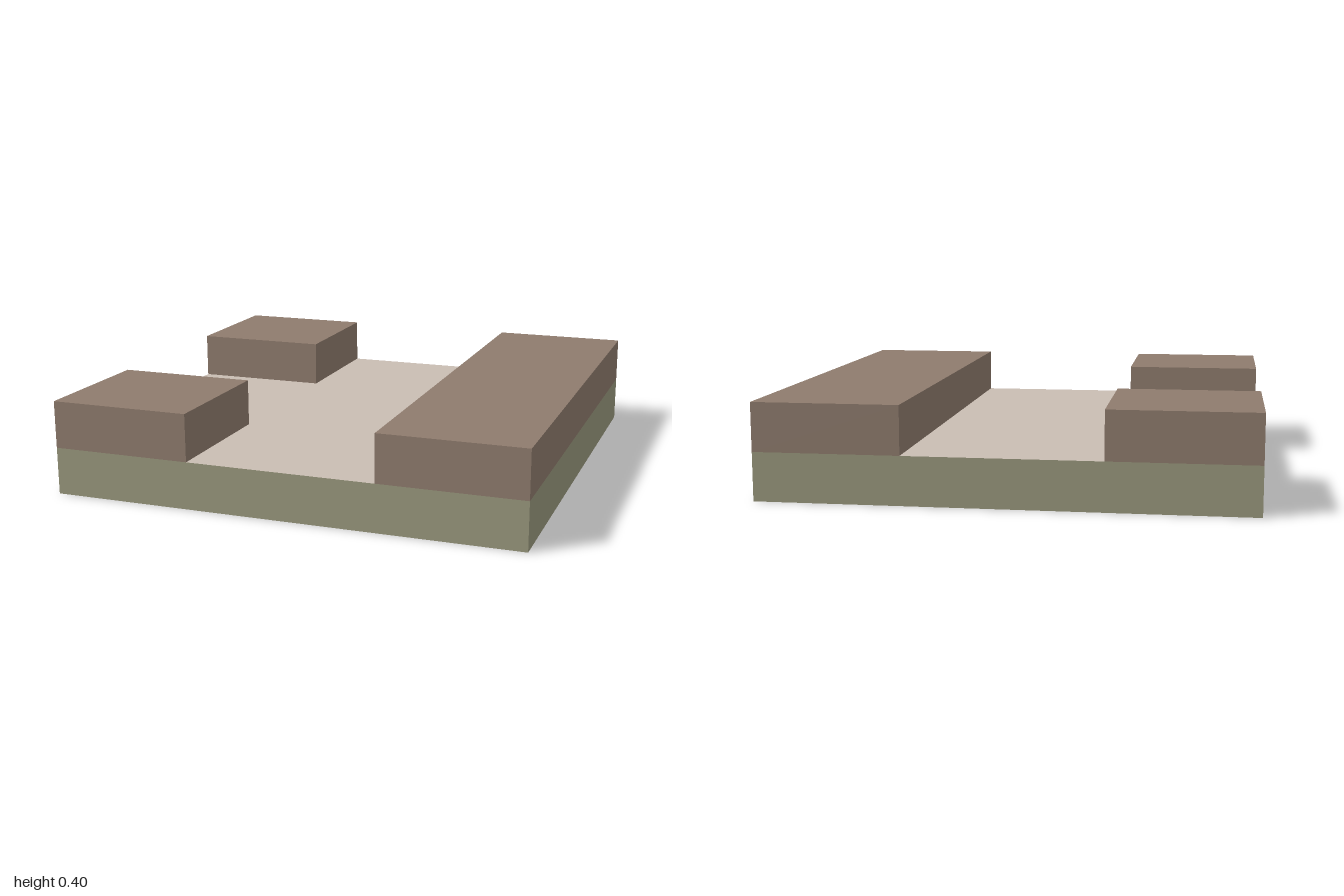
import * as THREE from 'three';

const material = (name, color) => {
  const m = new THREE.MeshStandardMaterial({ color });
  m.name = name;
  return m;
};

export function createModel() {
  const model = new THREE.Group();
  model.name = 'pathTile';

  const paving = material('pale paving', 0xc9bdb3);
  const ground = material('olive ground', 0x99987d);
  const wall = material('brown wall', 0x8e7b6d);

  // A box given by its size and the height of its underside
  const addBox = (name, [w, h, d], [x, y, z], mat) => {
    const mesh = new THREE.Mesh(new THREE.BoxGeometry(w, h, d), mat);
    mesh.name = name;
    mesh.position.set(x, y + h / 2, z);
    model.add(mesh);
  };

  // Base slab: olive sides, pale top and underside
  addBox('baseSlab', [2, 0.2, 2], [0, 0, 0],
    [ground, ground, paving, paving, ground, ground]);

  // Long wall along the left edge
  addBox('longWall', [0.6, 0.2, 2], [0.7, 0.2, 0], wall);

  // Corner blocks either side of the opening on the right edge
  for (const [name, side] of [['frontCornerBlock', 1], ['backCornerBlock', -1]]) {
    addBox(name, [0.6, 0.2, 0.6], [-0.7, 0.2, 0.7 * side], wall);
  }

  return model;
}
